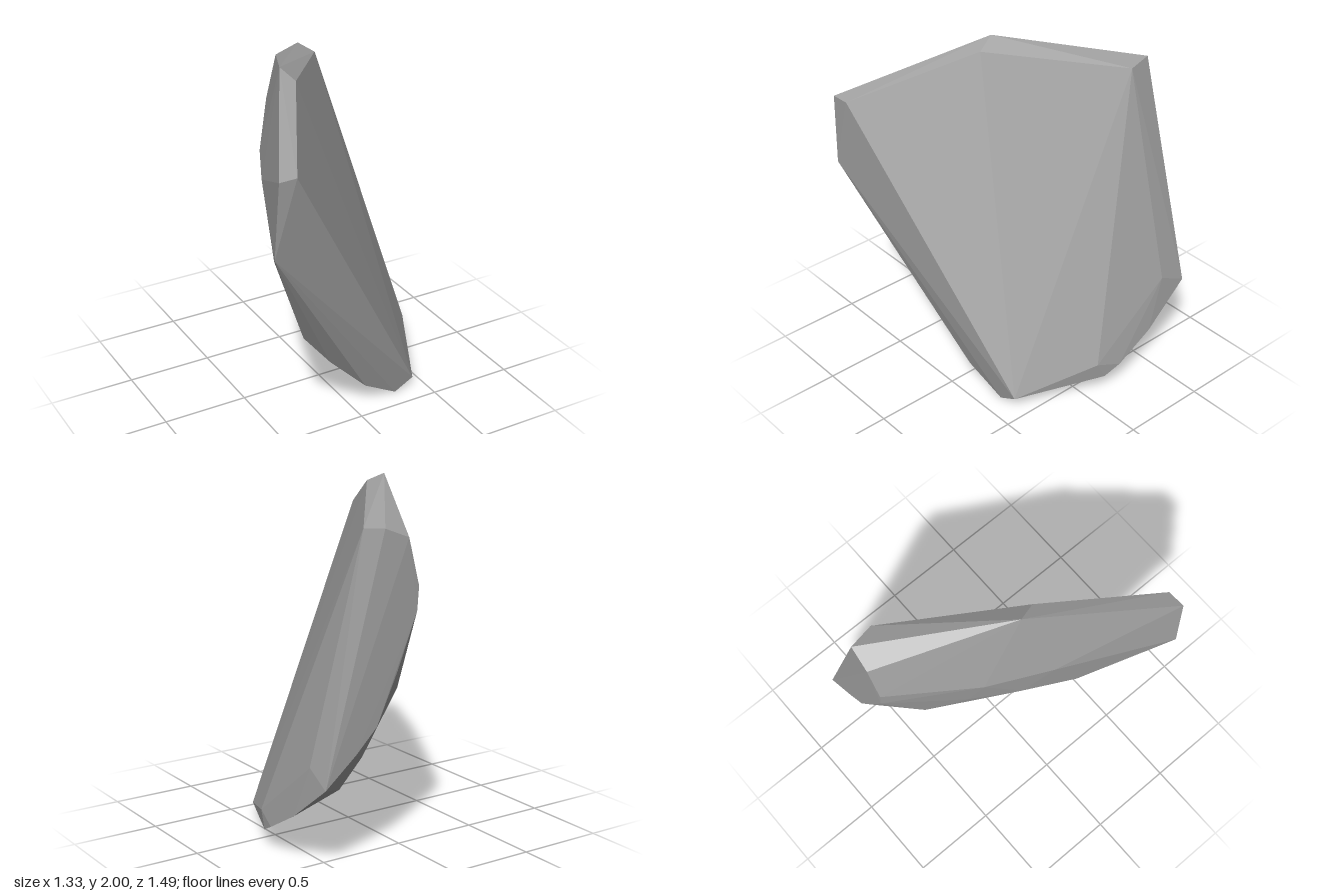
import * as THREE from 'three';
import { ConvexGeometry } from 'three/addons/geometries/ConvexGeometry.js';

const points = (rows) => rows.map((p) => new THREE.Vector3(...p));

export function createModel() {
  const group = new THREE.Group();
  group.name = 'rockShard';
  const stone = new THREE.MeshStandardMaterial({ color: 0xa0a0a0 });
  stone.name = 'grey stone';

  // Flat broken face
  const face = [
    [-0.54, 1.73, 0.74], [-0.19, 1.95, 0.09], [0.3, 1.81, -0.58],
    [0.42, 0.065, 0.38], [0.63, 0.2, -0.07], [0.63, 0.58, -0.57],
  ];
  // Outer rim: top, front edge and lower side
  const rim = [
    [-0.645, 1.73, 0.745], [-0.23, 2, -0.02], [0.27, 1.825, -0.73],
    [-0.67, 1.3, 0.735], [0.3, 0, 0.38],
    [0.64, 0.1, -0.12], [0.66, 0.15, -0.22], [0.66, 0.28, -0.45],
  ];
  // Upright broken face at the back
  const back = [
    [0.13, 1.77, -0.745], [0.06, 1.51, -0.74], [0.07, 1.38, -0.74],
    [0.19, 1.07, -0.735], [0.32, 0.79, -0.735], [0.45, 0.66, -0.735], [0.64, 0.5, -0.735],
  ];
  // Weathered, domed outer side
  const dome = [
    [-0.35, 0.6, 0.45], [-0.17, 0.38, 0.43], [0.07, 0.14, 0.42],
    [-0.4, 1.42, 0.08], [-0.23, 1.42, -0.27], [-0.15, 1.13, -0.32],
    [-0.42, 1.0, 0.25], [-0.2, 0.78, 0], [0, 0.25, 0.1], [0.2, 0.08, 0.15],
    [0.05, 0.55, -0.25], [0.25, 0.3, -0.28], [0.4, 0.12, -0.02],
    [-0.3, 1.1, -0.05], [0.02, 0.9, -0.5], [0.25, 0.55, -0.5],
  ];

  const shard = new THREE.Mesh(new ConvexGeometry(points([...face, ...rim, ...back, ...dome])), stone);
  shard.name = 'shard';
  group.add(shard);
  return group;
}
